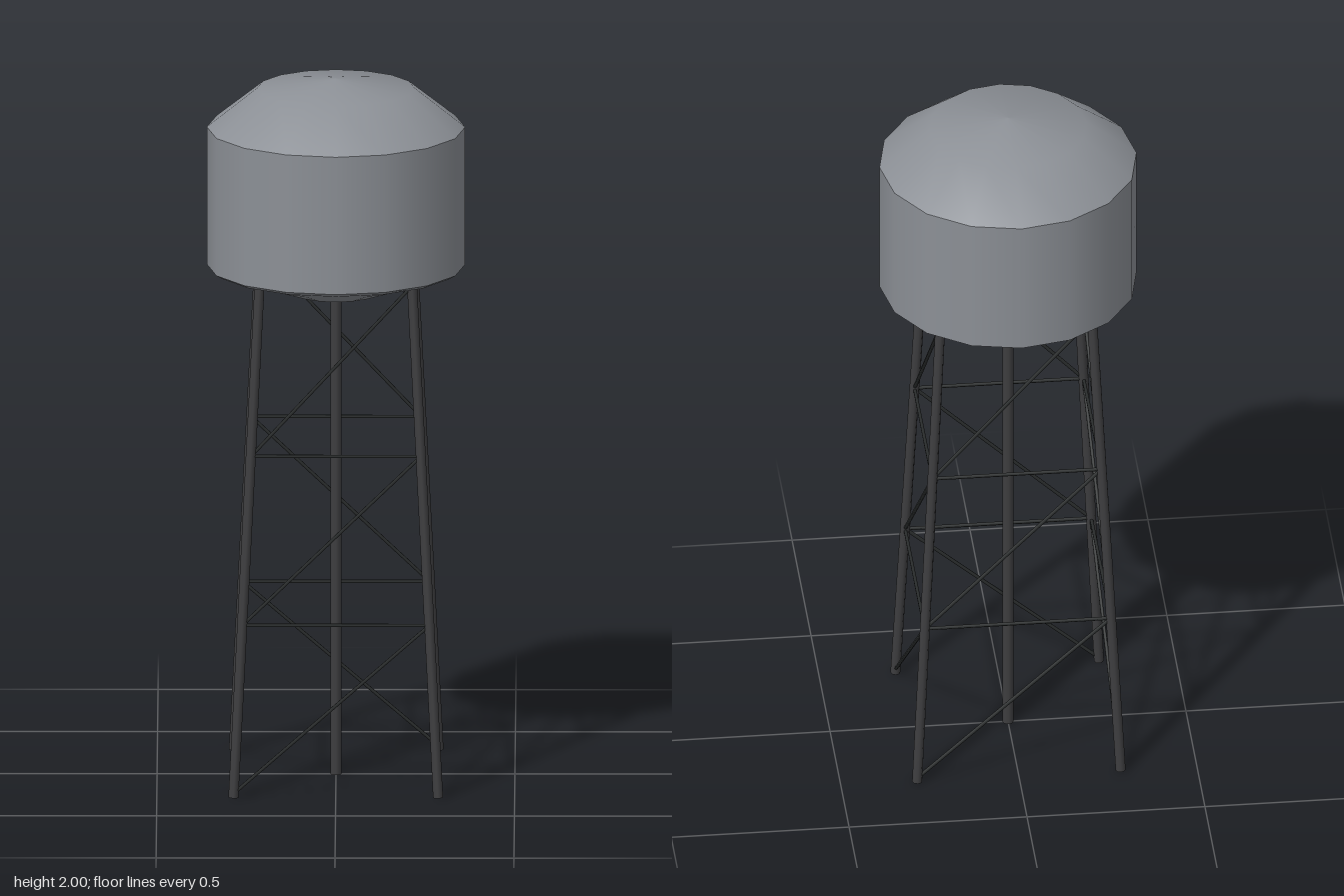
import * as THREE from 'three';

export function createModel() {
  const model = new THREE.Group();
  const mat = (name, color, side = THREE.FrontSide) => {
    const m = new THREE.MeshStandardMaterial({ color, side });
    m.name = name;
    return m;
  };
  const tankGrey = mat('tank grey', 0x8c9096, THREE.DoubleSide);
  const legSteel = mat('leg steel', 0x3e3e40);
  const braceSteel = mat('brace steel', 0x2a2d2d);

  // Straight round bar between two points
  const bar = (name, a, b, radius, sides, material) => {
    const dir = b.clone().sub(a);
    const mesh = new THREE.Mesh(new THREE.CylinderGeometry(radius, radius, dir.length(), sides), material);
    mesh.position.copy(a).add(b).multiplyScalar(0.5);
    mesh.quaternion.setFromUnitVectors(new THREE.Vector3(0, 1, 0), dir.normalize());
    mesh.name = name;
    model.add(mesh);
  };

  // Tank: each section is its own lathe, so the rims stay crisp
  const tankPart = (name, profile) => {
    const points = profile.map(([r, y]) => new THREE.Vector2(r, y));
    const mesh = new THREE.Mesh(new THREE.LatheGeometry(points, 16), tankGrey);
    mesh.name = name;
    model.add(mesh);
  };
  tankPart('tankBottom', [[0, 1.36], [0.12, 1.385], [0.22, 1.42], [0.345, 1.455], [0.361, 1.465]]);
  tankPart('tankWall', [[0.361, 1.465], [0.361, 1.86]]);
  tankPart('tankRoof', [[0.361, 1.86], [0.22, 1.972], [0, 2]]);

  // Tower corners, tapering inwards with height
  const corners = [[-1, 1], [1, 1], [1, -1], [-1, -1]];
  const corner = (i, y) => {
    const s = 0.286 - 0.05 * y;
    const [x, z] = corners[i % 4];
    return new THREE.Vector3(x * s, y, z * s);
  };
  const levels = [0.012, 0.49, 0.97, 1.455];

  for (let i = 0; i < 4; i++) {
    bar('leg', corner(i, 0.001), corner(i, 1.455), 0.014, 8, legSteel);
    for (let k = 0; k < 3; k++) {
      // One diagonal per bay, running the same way round the tower
      bar('diagonalBrace', corner(i, levels[k]), corner(i + 1, levels[k + 1]), 0.005, 6, braceSteel);
      if (k > 0) bar('horizontalBrace', corner(i, levels[k]), corner(i + 1, levels[k]), 0.005, 6, braceSteel);
    }
  }

  // Central riser pipe
  bar('riserPipe', new THREE.Vector3(0, 0, 0), new THREE.Vector3(0, 1.38, 0), 0.016, 8, legSteel);

  return model;
}
